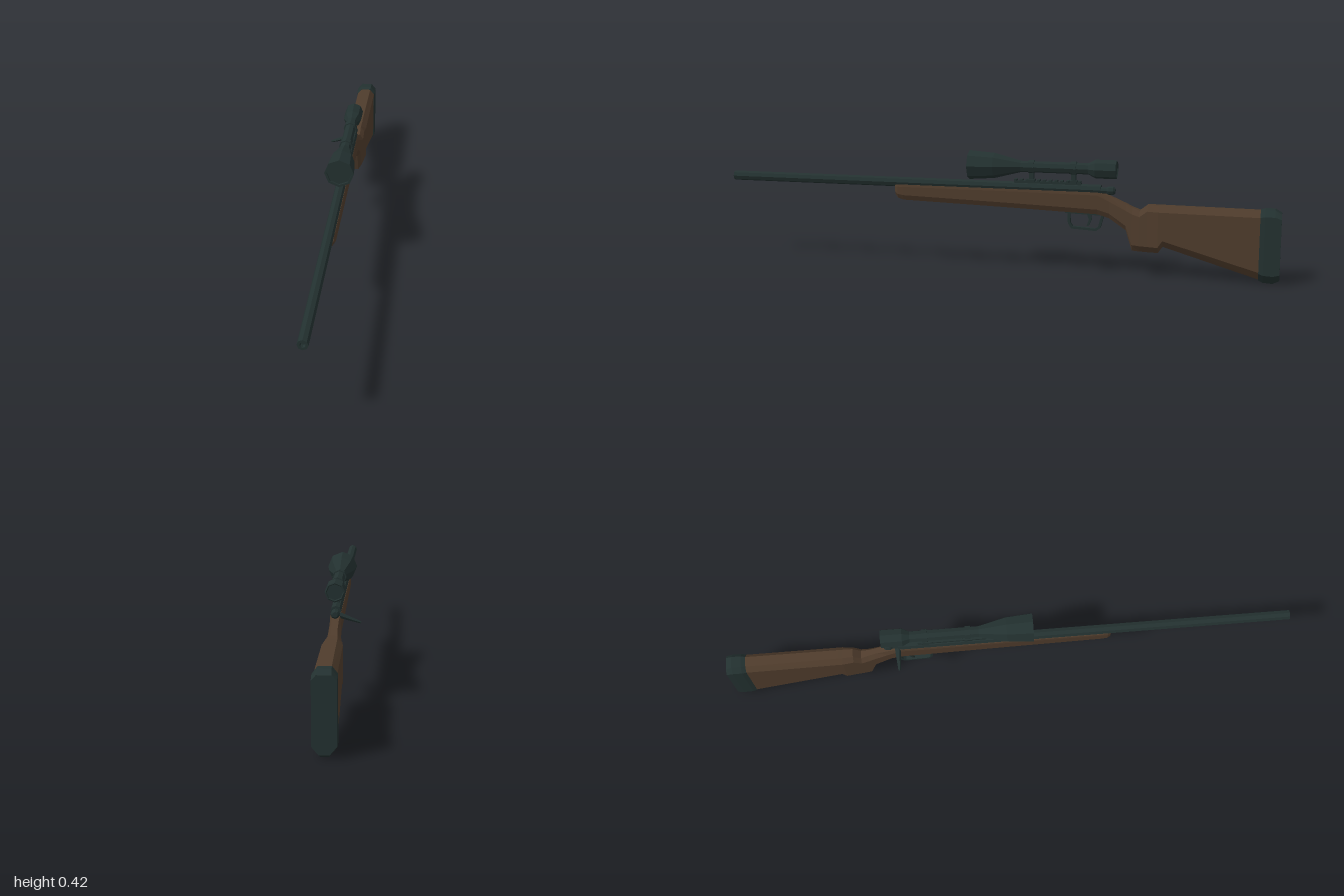
import * as THREE from 'three';

const CX = 0.015; // centre plane of the body

export function createModel() {
  const metal = new THREE.MeshStandardMaterial({ color: 0x233130 });
  metal.name = 'darkMetal';
  const wood = new THREE.MeshStandardMaterial({ color: 0x4f3c2c });
  wood.name = 'walnutWood';

  const model = new THREE.Group();
  model.name = 'huntingRifle';

  // Adds a faceted mesh
  function add(name, geo, mat, x = CX, y = 0, z = 0, parent = model) {
    const flat = geo.index ? geo.toNonIndexed() : geo;
    flat.computeVertexNormals();
    const mesh = new THREE.Mesh(flat, mat);
    mesh.name = name;
    mesh.position.set(x, y, z);
    parent.add(mesh);
    return mesh;
  }

  // Eight-sided turned part along z; profile is [radius, z] from back to front
  function turned(profile) {
    const pts = profile.map(([r, z]) => new THREE.Vector2(r, z));
    return new THREE.LatheGeometry(pts, 8).rotateX(Math.PI / 2);
  }

  // Chamfered section: [z, top, bottom, halfWidth, topHalf, topChamfer, bottomHalf, bottomChamfer]
  function ring([z, t, b, w, tw, tc, bw, bc]) {
    return [[bw, b, z], [w, b + bc, z], [w, t - tc, z], [tw, t, z],
      [-tw, t, z], [-w, t - tc, z], [-w, b + bc, z], [-bw, b, z]];
  }

  // Skin over sections ordered from front to back, capped at both ends
  function loft(sections) {
    const rings = sections.map(ring);
    const n = 8, last = (rings.length - 1) * n, idx = [];
    for (let i = 0; i < rings.length - 1; i++) {
      for (let j = 0; j < n; j++) {
        const a = i * n + j, b = i * n + (j + 1) % n;
        idx.push(a, a + n, b, b, a + n, b + n);
      }
    }
    for (let j = 1; j < n - 1; j++) {
      idx.push(0, j, j + 1, last, last + j + 1, last + j);
    }
    const geo = new THREE.BufferGeometry();
    geo.setAttribute('position', new THREE.Float32BufferAttribute(rings.flat(2), 3));
    geo.setIndex(idx);
    return geo;
  }

  // Stock: fore-end, wrist, grip and butt
  add('stock', loft([
    [0.365, 0.29, 0.252, 0.014, 0.012, 0.008, 0.007, 0.012],
    [0.355, 0.29, 0.24, 0.018, 0.016, 0.008, 0.008, 0.016],
    [0.335, 0.29, 0.234, 0.0185, 0.017, 0.008, 0.009, 0.018],
    [-0.08, 0.29, 0.222, 0.0185, 0.017, 0.008, 0.009, 0.018],
    [-0.375, 0.29, 0.212, 0.0185, 0.016, 0.01, 0.009, 0.018],
    [-0.416, 0.278, 0.2, 0.0185, 0.012, 0.018, 0.009, 0.018],
    [-0.475, 0.253, 0.16, 0.022, 0.01, 0.022, 0.01, 0.018],
    [-0.497, 0.242, 0.09, 0.024, 0.011, 0.022, 0.011, 0.022],
    [-0.523, 0.232, 0.088, 0.027, 0.014, 0.02, 0.011, 0.022],
    [-0.55, 0.253, 0.087, 0.029, 0.015, 0.02, 0.012, 0.022],
    [-0.588, 0.252, 0.086, 0.033, 0.016, 0.02, 0.012, 0.022],
    [-0.604, 0.252, 0.109, 0.033, 0.016, 0.02, 0.012, 0.024],
    [-0.935, 0.249, 0.011, 0.034, 0.018, 0.02, 0.013, 0.028],
  ]), wood);

  // Rubber pad closing the butt
  add('buttPad', loft([
    [-0.93, 0.25, 0.009, 0.0345, 0.018, 0.02, 0.013, 0.028],
    [-0.945, 0.255, 0.002, 0.037, 0.02, 0.022, 0.013, 0.03],
    [-0.978, 0.255, 0, 0.037, 0.02, 0.022, 0.013, 0.03],
    [-1, 0.242, 0.012, 0.036, 0.022, 0.016, 0.016, 0.024],
  ]), metal);

  // Barrel with a shallow bore, running back over the receiver
  add('barrel', turned([
    [0, -0.385], [0.0175, -0.385], [0.0175, 1], [0.009, 1], [0.009, 0.985], [0, 0.985],
  ]), metal, CX, 0.298);

  // Bolt with its shroud and sloping handle
  add('bolt', turned([
    [0, -0.435], [0.009, -0.435], [0.015, -0.428], [0.015, -0.412],
    [0.011, -0.405], [0.011, -0.38], [0, -0.38],
  ]), metal, CX, 0.296);
  const root = new THREE.Vector3(0.012, 0.289, -0.387);
  const tip = new THREE.Vector3(-0.067, 0.262, -0.387);
  const handleGeo = new THREE.CylinderGeometry(0.004, 0.011, root.distanceTo(tip), 6);
  const handle = add('boltHandle', handleGeo, metal);
  handle.position.copy(root).lerp(tip, 0.5);
  handle.quaternion.setFromUnitVectors(new THREE.Vector3(0, 1, 0), tip.clone().sub(root).normalize());

  // Toothed scope rail
  const rail = new THREE.Group();
  rail.name = 'scopeRail';
  model.add(rail);
  add('railBase', new THREE.BoxGeometry(0.018, 0.008, 0.24), metal, CX, 0.316, -0.195, rail);
  for (let i = 0; i < 12; i++) {
    add('railTooth', new THREE.BoxGeometry(0.022, 0.007, 0.01), metal, CX, 0.322, -0.081 - i * 0.0207, rail);
  }

  // Scope: eyepiece, tube and objective bell, with recessed lenses
  add('scope', turned([
    [0, -0.436], [0.026, -0.436], [0.029, -0.44], [0.033, -0.438], [0.033, -0.365],
    [0.02, -0.34], [0.02, -0.1], [0.045, -0.004], [0.052, 0.088],
    [0.044, 0.088], [0.044, 0.08], [0, 0.08],
  ]), metal, CX, 0.37);

  // Scope mounts: foot, post and ring
  for (const z of [-0.138, -0.288]) {
    const mount = new THREE.Group();
    mount.name = 'scopeMount';
    model.add(mount);
    add('mountFoot', new THREE.BoxGeometry(0.026, 0.01, 0.026), metal, CX, 0.322, z, mount);
    add('mountPost', new THREE.BoxGeometry(0.016, 0.035, 0.016), metal, CX, 0.338, z, mount);
    add('mountRing', turned([[0.02, -0.01], [0.024, -0.01], [0.024, 0.01], [0.02, 0.01]]),
      metal, CX, 0.37, z, mount);
  }

  // Side outlines are drawn as (-z, y), then turned to face along the body
  const vectors = (list) => list.map(([z, y]) => new THREE.Vector2(-z, y));
  function sidePlate(outline, width, hole) {
    const shape = new THREE.Shape(vectors(outline));
    if (hole) shape.holes.push(new THREE.Path(vectors(hole)));
    return new THREE.ExtrudeGeometry(shape, { depth: width, bevelEnabled: false })
      .translate(0, 0, -width / 2).rotateY(Math.PI / 2);
  }

  // Trigger guard loop and curved trigger
  add('triggerGuard', sidePlate(
    [[-0.268, 0.221], [-0.27, 0.176], [-0.282, 0.157], [-0.37, 0.152], [-0.385, 0.163], [-0.398, 0.212], [-0.385, 0.221]],
    0.015,
    [[-0.277, 0.211], [-0.278, 0.178], [-0.287, 0.165], [-0.366, 0.16], [-0.377, 0.167], [-0.388, 0.208]],
  ), metal);
  add('trigger', sidePlate(
    [[-0.335, 0.216], [-0.344, 0.19], [-0.336, 0.168], [-0.343, 0.168], [-0.354, 0.19], [-0.35, 0.216]],
    0.009,
  ), metal);
  add('floorPlate', new THREE.BoxGeometry(0.018, 0.008, 0.14), metal, CX, 0.2135, -0.33).rotation.x = -0.03;

  return model;
}
